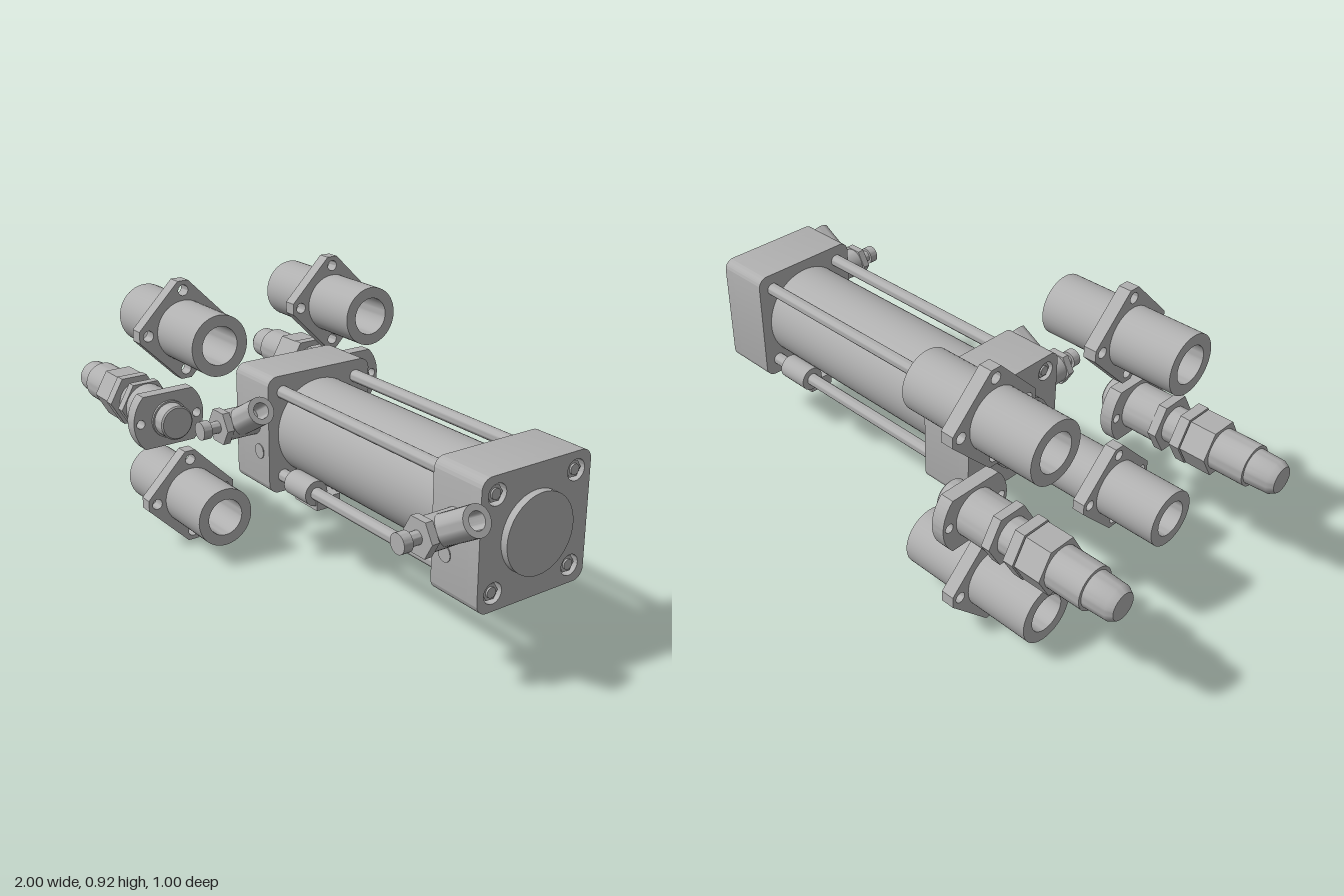
import * as THREE from 'three';
import { toCreasedNormals } from 'three/addons/utils/BufferGeometryUtils.js';

const steel = new THREE.MeshStandardMaterial({ color: 0xb0b0b0 });
steel.name = 'grey steel';

const AXIS_Y = 0.463; // height of the cylinder axis

function add(parent, name, geometry, x = 0, y = 0, z = 0) {
  const mesh = new THREE.Mesh(toCreasedNormals(geometry, 0.6), steel);
  mesh.name = name;
  mesh.position.set(x, y, z);
  parent.add(mesh);
  return mesh;
}

function subgroup(parent, name, x = 0, y = 0, z = 0) {
  const group = new THREE.Group();
  group.name = name;
  group.position.set(x, y, z);
  parent.add(group);
  return group;
}

// Turned part along x, from [x, radius] pairs
function turned(profile, sides = 48) {
  const pts = profile.map(([x, r]) => new THREE.Vector2(r, x));
  return new THREE.LatheGeometry(pts, sides).rotateZ(-Math.PI / 2);
}

const rod = (x0, x1, r, sides = 48) => turned([[x0, 0], [x0, r], [x1, r], [x1, 0]], sides);
const tube = (x0, x1, r, bore) =>
  turned([[x0, bore], [x0, r], [x1, r], [x1, bore], [x0, bore]]);

// Cylinder or prism along z
function rodZ(z0, z1, r, sides = 32) {
  const g = new THREE.CylinderGeometry(r, r, z1 - z0, sides);
  if (sides === 6) g.rotateY(Math.PI / 2);
  return g.rotateX(Math.PI / 2).translate(0, 0, (z0 + z1) / 2);
}

// Plate in the y-z plane, x0 to x1
function plate(shape, x0, x1) {
  return new THREE.ExtrudeGeometry(shape, { depth: x1 - x0, bevelEnabled: false, curveSegments: 24 })
    .rotateY(Math.PI / 2).translate(x0, 0, 0);
}

function hole(shape, x, y, r) {
  shape.holes.push(new THREE.Path().absarc(x, y, r, 0, Math.PI * 2, true));
}

function roundedSquare(h, r) {
  const s = new THREE.Shape();
  s.absarc(h - r, h - r, r, 0, Math.PI / 2);
  s.absarc(r - h, h - r, r, Math.PI / 2, Math.PI);
  s.absarc(r - h, r - h, r, Math.PI, Math.PI * 1.5);
  s.absarc(h - r, r - h, r, Math.PI * 1.5, Math.PI * 2);
  s.closePath();
  return s;
}

const CORNERS = [[1, 1], [1, -1], [-1, 1], [-1, -1]];
const TIE = 0.143; // tie rod offset from the axis

// End block with counterbored bolts on its outer face
function endBlock(parent, name, x0, x1, outward) {
  const g = subgroup(parent, name);
  const depth = 0.04;
  const split = outward > 0 ? x1 - depth : x0 + depth;
  const face = roundedSquare(0.198, 0.035);
  CORNERS.forEach(([a, b]) => hole(face, a * TIE, b * TIE, 0.032));
  const solid = plate(roundedSquare(0.198, 0.035), outward > 0 ? x0 : split, outward > 0 ? split : x1);
  add(g, 'block', solid);
  add(g, 'boredFace', plate(face, outward > 0 ? split : x0, outward > 0 ? x1 : split));
  for (const [a, b] of CORNERS) {
    const end = split + outward * 0.03;
    add(g, 'tieNut', rod(Math.min(split, end), Math.max(split, end), 0.027, 6), 0, a * TIE, b * TIE);
    const tip = split + outward * 0.036;
    add(g, 'tieRodEnd', rod(Math.min(split, tip), Math.max(split, tip), 0.016, 24), 0, a * TIE, b * TIE);
  }
}

// Speed control elbow on the front of an end block
function elbowFitting(parent, x) {
  const g = subgroup(parent, 'elbowFitting', x, 0.036, 0);
  add(g, 'body', rodZ(0.19, 0.305, 0.05));
  add(g, 'hexCollar', rodZ(0.303, 0.328, 0.06, 6));
  add(g, 'needleStem', rodZ(0.32, 0.37, 0.02));
  add(g, 'needleKnob', rodZ(0.365, 0.395, 0.03));
  const outlet = turned([[0, 0], [0, 0.045], [0.165, 0.045], [0.165, 0.026], [0.09, 0.026], [0.09, 0]], 32);
  add(g, 'outlet', outlet, 0.003, 0, 0.257).rotation.z = Math.PI / 6;
  // Cushion screw beside the port
  add(parent, 'cushionScrew', rodZ(0.19, 0.201, 0.025), x + 0.04 * (x < 0 ? 1 : -1), -0.063, 0);
}

// Position sensor clamped on a lower tie rod
function sensor(parent, x, side) {
  const g = subgroup(parent, 'sensor', x, 0, 0);
  add(g, 'clamp', rod(0, 0.12, 0.042, 24), 0, -TIE, side * TIE);
  add(g, 'sensorBody', new THREE.BoxGeometry(0.12, 0.04, 0.09), 0.065, -0.181, side * 0.1);
}

function guideBushing(parent, y, z) {
  const g = subgroup(parent, 'guideBushing', 0, y, z);
  add(g, 'sleeve', tube(-0.685, -0.195, 0.1, 0.063));
  const [h, c] = [0.165, 0.019];
  const s = new THREE.Shape([[h, -c], [h, c], [c, h], [-c, h], [-h, c], [-h, -c], [-c, -h], [c, -h]]
    .map(([a, b]) => new THREE.Vector2(a, b)));
  hole(s, 0, 0, 0.09);
  for (let i = 0; i < 4; i++) {
    hole(s, 0.133 * Math.cos(i * Math.PI / 2), 0.133 * Math.sin(i * Math.PI / 2), 0.018);
  }
  add(g, 'flange', plate(s, -0.463, -0.418));
}

function rodCoupler(parent, z) {
  const g = subgroup(parent, 'rodCoupler', 0, AXIS_Y, z);
  add(g, 'nose', turned([[-1, 0], [-1, 0.043], [-0.98, 0.055], [-0.905, 0.058], [-0.905, 0.068],
    [-0.78, 0.068], [-0.78, 0]]));
  add(g, 'hexBody', rod(-0.785, -0.695, 0.09, 6));
  add(g, 'lockNut', rod(-0.692, -0.657, 0.094, 6));
  add(g, 'neck', rod(-0.7, -0.6, 0.06));
  add(g, 'collar', rod(-0.605, -0.575, 0.094, 6));
  add(g, 'housing', rod(-0.58, -0.45, 0.078));
  add(g, 'frontBoss', turned([[-0.45, 0], [-0.45, 0.064], [-0.41, 0.064], [-0.41, 0.058],
    [-0.365, 0.058], [-0.36, 0.053], [-0.36, 0]]));
  // Round flange with flats above and below
  const r = 0.13, a = Math.asin(0.092 / r);
  const s = new THREE.Shape();
  s.absarc(0, 0, r, -a, a);
  s.absarc(0, 0, r, Math.PI - a, Math.PI + a);
  s.closePath();
  hole(s, 0.105, 0, 0.015);
  hole(s, -0.105, 0, 0.015);
  add(g, 'flange', plate(s, -0.463, -0.418));
}

export function createModel() {
  const model = new THREE.Group();
  model.name = 'tieRodCylinderKit';

  // Main cylinder
  const cyl = subgroup(model, 'cylinder', 0, AXIS_Y, 0);
  add(cyl, 'barrel', rod(-0.08, 0.74, 0.162, 64));
  endBlock(cyl, 'headBlock', -0.265, -0.075, -1);
  endBlock(cyl, 'rearBlock', 0.735, 0.925, 1);
  add(cyl, 'gland', turned([[-0.345, 0], [-0.345, 0.055], [-0.355, 0.055], [-0.355, 0.108],
    [-0.305, 0.108], [-0.305, 0.122], [-0.26, 0.122]]));
  add(cyl, 'rearBoss', rod(0.92, 0.948, 0.122));
  for (const [a, b] of CORNERS) add(cyl, 'tieRod', rod(-0.08, 0.74, 0.021, 24), 0, a * TIE, b * TIE);
  for (const x of [-0.17, 0.83]) elbowFitting(cyl, x);
  sensor(cyl, -0.01, 1);
  sensor(cyl, 0.55, -1);

  // Loose bushings and couplers on both sides
  for (const side of [1, -1]) {
    for (const y of [0.17, 0.76]) guideBushing(model, y - 0.004, side * 0.297);
    rodCoupler(model, side * 0.37);
  }
  return model;
}
